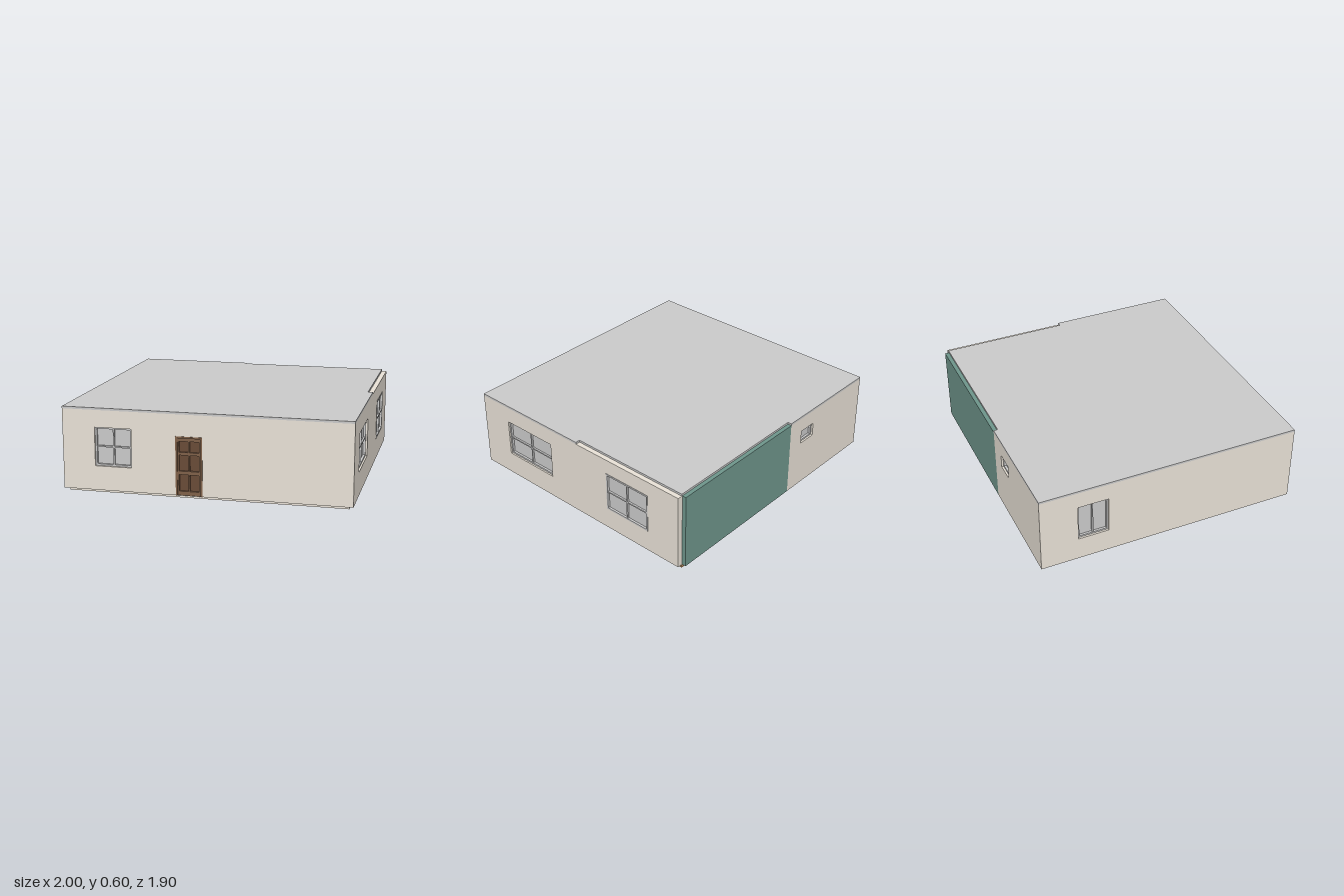
import * as THREE from 'three';

const BASE = 0.02, TOP = 0.58, T = 0.04, W = 1, D = 0.95;
const paint = (color) => new THREE.MeshStandardMaterial({ color, side: THREE.DoubleSide });
const grey = paint(0xcccccc), cream = paint(0xeae3d8), teal = paint(0x6f968c);
const oak = paint(0xc89a6a), darkTile = paint(0x8c8c8c), wood = paint(0x80614a), darkWood = paint(0x6a4c38);

// Box given by its two opposite corners
function block(name, material, x0, x1, y0, y1, z0, z1) {
  const mesh = new THREE.Mesh(new THREE.BoxGeometry(x1 - x0, y1 - y0, z1 - z0), material);
  mesh.position.set((x0 + x1) / 2, (y0 + y1) / 2, (z0 + z1) / 2);
  mesh.name = name;
  return mesh;
}

function rectangle(PathType, x0, x1, y0, y1) {
  const p = new PathType();
  p.moveTo(x0, y0).lineTo(x1, y0).lineTo(x1, y1).lineTo(x0, y1).closePath();
  return p;
}

// Frame, glazing bars and glass; z is the front plane of the frame
function makeWindow({ x0, x1, y0, y1, cols, rows, z }) {
  const g = new THREE.Group();
  g.name = 'window';
  const f = 0.012, back = z - 0.022, bar = 0.005;
  g.add(block('glass', grey, x0, x1, y0, y1, back, z - 0.016));
  for (const x of [x0, x1 - f]) g.add(block('frameSide', grey, x, x + f, y0, y1, back, z));
  for (const y of [y0, y1 - f]) g.add(block('frameRail', grey, x0, x1, y, y + f, back, z));
  for (let i = 1; i < cols; i++) {
    const x = x0 + (x1 - x0) * i / cols;
    g.add(block('glazingBar', grey, x - bar, x + bar, y0, y1, back, z - 0.003));
  }
  for (let i = 1; i < rows; i++) {
    const y = y0 + (y1 - y0) * i / rows;
    g.add(block('glazingBar', grey, x0, x1, y - bar, y + bar, back, z - 0.003));
  }
  return g;
}

// Panelled door: pierced leaf over a recessed backing, with a casing round it
function makeDoor(x0, x1, y0, y1) {
  const g = new THREE.Group();
  g.name = 'door';
  const f = 0.012;
  g.add(block('doorPanels', darkWood, x0, x1, y0, y1, T - 0.03, T - 0.02));
  const leaf = rectangle(THREE.Shape, x0 + f, x1 - f, y0, y1 - f);
  for (const [a, b] of [[-0.178, -0.113], [-0.104, -0.039]]) {
    for (const [c, d] of [[0.05, 0.165], [0.19, 0.3], [0.32, 0.395]]) {
      leaf.holes.push(rectangle(THREE.Path, a, b, c, d));
    }
  }
  const mesh = new THREE.Mesh(new THREE.ExtrudeGeometry(leaf, { depth: 0.015, bevelEnabled: false }), wood);
  mesh.position.z = T - 0.02;
  mesh.name = 'doorLeaf';
  g.add(mesh);
  for (const x of [x0, x1 - f]) g.add(block('doorJamb', wood, x, x + f, y0, y1, T - 0.03, T + 0.004));
  g.add(block('doorHead', wood, x0, x1, y1 - f, y1, T - 0.03, T + 0.004));
  return g;
}

// Wall drawn in its own plane, outside towards local +z
function makeWall(name, material, u0, u1, windows, door) {
  const g = new THREE.Group();
  g.name = name;
  const shape = rectangle(THREE.Shape, u0, u1, BASE, TOP);
  for (const w of windows) {
    shape.holes.push(rectangle(THREE.Path, w.x0, w.x1, w.y0, w.y1));
    g.add(makeWindow(w));
  }
  if (door) {
    shape.holes.push(rectangle(THREE.Path, door[0], door[1], door[2] + 0.001, door[3]));
    g.add(makeDoor(...door));
  }
  const mesh = new THREE.Mesh(new THREE.ExtrudeGeometry(shape, { depth: T, bevelEnabled: false }), material);
  mesh.name = name + 'Panel';
  g.add(mesh);
  return g;
}

export function createModel() {
  const house = new THREE.Group();
  house.name = 'house';

  // Front wall with door
  const front = makeWall('frontWall', cream, -W, W,
    [{ x0: -0.77, x1: -0.51, y0: 0.19, y1: 0.46, cols: 2, rows: 2, z: T - 0.014 }],
    [-0.2, -0.015, BASE, 0.43]);
  front.position.z = D - T;

  // Left wall (+x): one recessed window, one standing proud
  const left = makeWall('leftWall', cream, -(D - T), 0.92, [
    { x0: -0.7, x1: -0.26, y0: 0.19, y1: 0.46, cols: 2, rows: 2, z: T - 0.012 },
    { x0: 0.28, x1: 0.655, y0: 0.18, y1: 0.47, cols: 2, rows: 2, z: T + 0.003 },
  ]);
  left.rotation.y = Math.PI / 2;
  left.position.x = W - T;

  // Right wall (-x)
  const right = makeWall('rightWall', cream, -(D - T), D - T,
    [{ x0: -0.68, x1: -0.46, y0: 0.19, y1: 0.46, cols: 2, rows: 1, z: T - 0.014 }]);
  right.rotation.y = -Math.PI / 2;
  right.position.x = -(W - T);

  // Back wall: plain part with a small window, then the painted part
  const back = makeWall('backWall', cream, 0.15, W,
    [{ x0: 0.28, x1: 0.42, y0: 0.37, y1: 0.47, cols: 1, rows: 1, z: T - 0.014 }]);
  const painted = makeWall('paintedBackWall', teal, -0.96, 0.15, []);
  for (const w of [back, painted]) {
    w.rotation.y = Math.PI;
    w.position.z = -(D - T);
  }
  house.add(front, left, right, back, painted);

  // Roof slab, stepped in along the painted room
  const roofShape = new THREE.Shape([
    [-1, -0.95], [1, -0.95], [1, 0], [0.965, 0], [0.965, 0.92], [-0.15, 0.92], [-0.15, 0.95], [-1, 0.95],
  ].map(([x, y]) => new THREE.Vector2(x, y)));
  const roof = new THREE.Mesh(new THREE.ExtrudeGeometry(roofShape, { depth: 0.015, bevelEnabled: false }), grey);
  roof.rotation.x = -Math.PI / 2;
  roof.position.y = TOP;
  roof.name = 'roof';
  house.add(roof);

  // Floor slabs, one per room finish
  house.add(
    block('mainFloor', cream, -0.97, 0.97, 0, BASE, 0, 0.925),
    block('sideFloor', cream, -0.97, -0.5, 0, BASE, -0.925, 0),
    block('hallFloor', cream, -0.5, -0.15, 0, BASE, -0.36, 0),
    block('tiledFloor', darkTile, -0.5, -0.15, 0, BASE, -0.925, -0.36),
    block('woodFloor', oak, -0.15, 0.97, 0, BASE, -0.925, 0),
  );
  return house;
}
